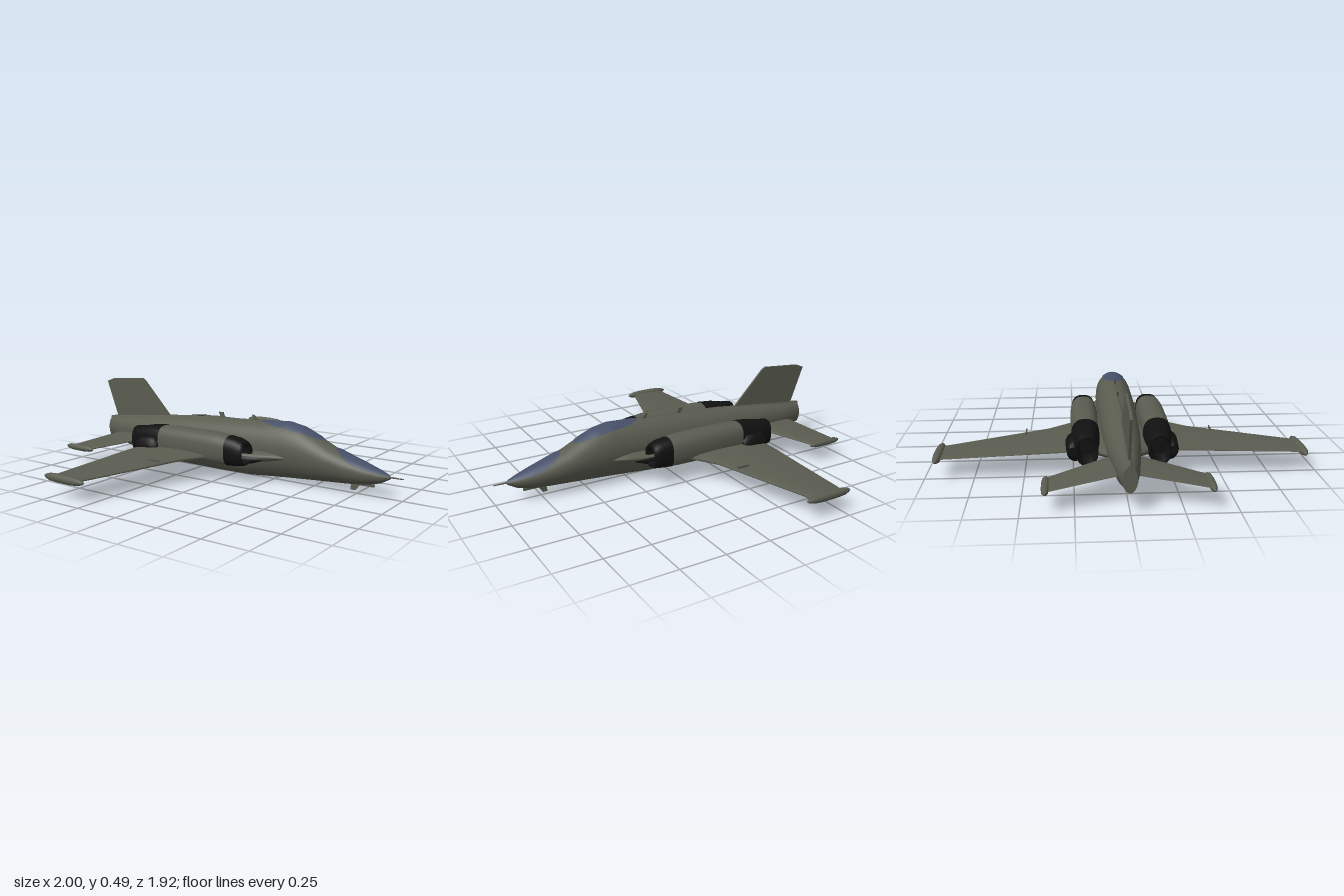
import * as THREE from 'three';

const mat = (name, color) => Object.assign(new THREE.MeshStandardMaterial({ color }), { name });

// Skin closed rings of [x, y, z] points and cap both ends
function loft(rings) {
  const n = rings[0].length, pos = rings.flat(2), idx = [];
  for (let i = 0; i < rings.length - 1; i++) {
    for (let j = 0; j < n; j++) {
      const k = (j + 1) % n, a = i * n + j, b = i * n + k;
      idx.push(a, a + n, b, b, a + n, b + n);
    }
  }
  [rings[0], rings[rings.length - 1]].forEach((ring, end) => {
    const base = pos.length / 3;
    pos.push(...ring.flat(), ...[0, 1, 2].map(c => ring.reduce((s, p) => s + p[c], 0) / n));
    for (let j = 0; j < n; j++) {
      const k = (j + 1) % n;
      idx.push(base + n, base + (end ? k : j), base + (end ? j : k));
    }
  });
  return build(pos, idx);
}

function build(pos, idx) {
  const g = new THREE.BufferGeometry();
  g.setAttribute('position', new THREE.Float32BufferAttribute(pos, 3));
  g.setIndex(idx);
  g.computeVertexNormals();
  return g;
}

// Copy a geometry to the other side, keeping faces outward
function mirrored(g) {
  const m = g.clone().scale(1, 1, -1), ix = m.index.array;
  for (let i = 0; i < ix.length; i += 3) [ix[i], ix[i + 1]] = [ix[i + 1], ix[i]];
  m.computeVertexNormals();
  return m;
}

// Fuselage stations: x, bottom, middle, top, half width
const BODY = [
  [-0.97, 0.1, 0.165, 0.23, 0.035], [-0.86, 0.085, 0.165, 0.24, 0.055], [-0.82, 0.065, 0.165, 0.245, 0.06],
  [-0.6, 0.035, 0.17, 0.272, 0.085], [-0.4, 0.012, 0.18, 0.295, 0.098], [-0.1, 0.008, 0.19, 0.315, 0.105],
  [0.1, 0.01, 0.19, 0.324, 0.108], [0.22, 0.02, 0.19, 0.33, 0.108], [0.34, 0.03, 0.19, 0.337, 0.105],
  [0.43, 0.036, 0.185, 0.32, 0.1], [0.52, 0.042, 0.175, 0.28, 0.094], [0.6, 0.047, 0.16, 0.24, 0.086],
  [0.7, 0.053, 0.14, 0.205, 0.075], [0.8, 0.063, 0.125, 0.173, 0.057], [0.88, 0.082, 0.118, 0.146, 0.033],
  [0.93, 0.11, 0.119, 0.127, 0.009],
];

function bodyAt(x) {
  let i = 0;
  while (i < BODY.length - 2 && BODY[i + 1][0] < x) i++;
  const a = BODY[i], b = BODY[i + 1], t = (x - a[0]) / (b[0] - a[0]);
  return a.map((v, k) => v + (b[k] - v) * t);
}

function bodyPoint(x, angle, grow = 0) {
  const [, bottom, middle, top, half] = bodyAt(x), s = Math.sin(angle), c = Math.cos(angle);
  const keel = s < 0 ? 0.82 + 0.18 * Math.abs(c) : 1;
  return [x, middle + s * (s > 0 ? top - middle + grow : middle - bottom), c * keel * (half + grow)];
}

// Thin glazed panel that follows the fuselage top
function panel(x0, x1, width) {
  const pos = [], idx = [], nx = 28, nv = 14;
  for (let i = 0; i <= nx; i++) {
    const u = -Math.cos(Math.PI * i / nx), x = (x0 + x1) / 2 + u * (x1 - x0) / 2, half = bodyAt(x)[4];
    const w = Math.min(width * Math.sqrt(Math.max(0, 1 - u * u)), half * 0.85);
    for (let j = 0; j <= nv; j++) {
      pos.push(...bodyPoint(x, Math.acos((1 - 2 * j / nv) * w / half), 0.004));
      if (i < nx && j < nv) {
        const a = i * (nv + 1) + j, b = a + nv + 1;
        idx.push(a, b, a + 1, a + 1, b, b + 1);
      }
    }
  }
  return build(pos, idx);
}

// Rounded tube along x from stations: x, bottom, top, half width, centre z
function tubeX(stations, power = 0.8, n = 28) {
  const round = v => Math.sign(v) * Math.abs(v) ** power;
  return loft(stations.map(([x, bottom, top, half, z]) => Array.from({ length: n }, (_, j) => {
    const a = j / n * Math.PI * 2;
    return [x, (bottom + top) / 2 + round(Math.sin(a)) * (top - bottom) / 2, z + round(Math.cos(a)) * half];
  })));
}

// Aerofoil surface along z from stations: z, trailing x, leading x, y, half thickness
function wing(stations, n = 20) {
  return loft(stations.map(([z, tail, lead, y, thick]) => Array.from({ length: n }, (_, j) => {
    const a = j / n * Math.PI * 2, c = Math.cos(a);
    return [(tail + lead) / 2 - c * (lead - tail) / 2, y + thick * Math.sin(a) * (1 - 0.4 * c), z];
  })));
}

// Streamlined tip body
function pod(x0, x1, y, z, r) {
  const shape = [[0, 0.05], [0.06, 0.5], [0.16, 0.85], [0.35, 1], [0.65, 1], [0.84, 0.85], [0.95, 0.5], [1, 0.05]];
  return tubeX(shape.map(([t, s]) => [x0 + (x1 - x0) * t, y - r * s, y + r * s, r * s, z]), 1, 16);
}

// Flat upright plate centred on z = 0
function plate(points, thick) {
  const shape = new THREE.Shape(points.map(p => new THREE.Vector2(...p)));
  return new THREE.ExtrudeGeometry(shape, { depth: thick, bevelEnabled: false }).translate(0, 0, -thick / 2);
}

export function createModel() {
  const model = new THREE.Group();
  model.name = 'jetAircraft';
  const grey = mat('oliveGrey', 0x5a5c50), black = mat('engineBlack', 0x111111), blue = mat('glassBlue', 0x465068);
  const add = (name, geometry, material = grey) => {
    const mesh = new THREE.Mesh(geometry, material);
    mesh.name = name;
    model.add(mesh);
  };
  // The aircraft faces +x, so its right side is +z
  const addPair = (name, geometry, material) => {
    add(name + 'Left', mirrored(geometry), material);
    add(name + 'Right', geometry, material);
  };

  // Fuselage, glazing and nose probe
  const rings = BODY.map(([x]) => Array.from({ length: 40 }, (_, j) => bodyPoint(x, j / 40 * Math.PI * 2)));
  add('fuselage', loft(rings));
  add('canopy', panel(0.17, 0.555, 0.06), blue);
  add('nosePanel', panel(0.63, 0.925, 0.06), blue);
  add('noseProbe', new THREE.CylinderGeometry(0.003, 0.005, 0.09, 8).rotateZ(-Math.PI / 2).translate(0.955, 0.121, 0));

  // Shoulder fairing that carries the engines and wing roots
  add('shoulderFairing', tubeX([
    [-0.62, 0.13, 0.17, 0.06, 0], [-0.52, 0.105, 0.18, 0.15, 0], [-0.3, 0.095, 0.185, 0.2, 0],
    [0, 0.095, 0.185, 0.19, 0], [0.12, 0.1, 0.19, 0.16, 0], [0.25, 0.115, 0.195, 0.145, 0],
    [0.31, 0.125, 0.19, 0.125, 0], [0.42, 0.14, 0.175, 0.08, 0],
  ], 1, 32));

  // Engines: body, hollow intake, hollow nozzle and deflector
  addPair('engineBody', tubeX([
    [-0.39, 0.1, 0.268, 0.07, 0.186], [-0.3, 0.1, 0.274, 0.073, 0.187], [-0.05, 0.1, 0.275, 0.075, 0.187],
    [0.03, 0.1, 0.271, 0.072, 0.187], [0.085, 0.102, 0.264, 0.068, 0.187],
  ]));
  addPair('engineIntake', tubeX([
    [0.08, 0.1, 0.266, 0.069, 0.187], [0.14, 0.106, 0.258, 0.066, 0.187], [0.175, 0.11, 0.245, 0.06, 0.187],
    [0.19, 0.118, 0.232, 0.053, 0.187], [0.175, 0.125, 0.225, 0.046, 0.187], [0.1, 0.13, 0.22, 0.042, 0.187],
  ]), black);
  addPair('intakeSplitter', tubeX([
    [0.08, 0.1, 0.16, 0.03, 0.145], [0.18, 0.112, 0.158, 0.022, 0.138], [0.25, 0.135, 0.15, 0.004, 0.136],
  ], 1, 12), black);
  addPair('engineNozzle', tubeX([
    [-0.52, 0.125, 0.215, 0.035, 0.182], [-0.585, 0.11, 0.23, 0.045, 0.182], [-0.592, 0.095, 0.243, 0.055, 0.182],
    [-0.53, 0.085, 0.25, 0.06, 0.184], [-0.46, 0.088, 0.265, 0.071, 0.186], [-0.38, 0.096, 0.272, 0.073, 0.186],
  ]), black);
  addPair('exhaustDeflector', tubeX([
    [-0.53, 0.12, 0.17, 0.02, 0.255], [-0.51, 0.09, 0.2, 0.045, 0.24], [-0.45, 0.085, 0.21, 0.05, 0.238],
    [-0.4, 0.09, 0.21, 0.053, 0.238], [-0.375, 0.12, 0.18, 0.03, 0.24],
  ], 1, 16), black);

  // Wings and tailplanes with their tip bodies
  addPair('wing', wing([
    [0.08, -0.52, 0.08, 0.142, 0.02], [0.26, -0.52, -0.035, 0.14, 0.02], [0.38, -0.52, -0.12, 0.136, 0.017],
    [0.93, -0.515, -0.31, 0.114, 0.008],
  ]));
  addPair('wingTipPod', pod(-0.555, -0.27, 0.113, 0.935, 0.023));
  addPair('wingFence', new THREE.BoxGeometry(0.07, 0.012, 0.006).translate(-0.2, 0.15, 0.5));
  addPair('tailplane', wing([[0.03, -0.87, -0.585, 0.15, 0.014], [0.385, -0.96, -0.78, 0.11, 0.006]]));
  addPair('tailTipPod', pod(-0.985, -0.765, 0.109, 0.383, 0.019));

  // Fin and spine
  add('tailFin', plate([[-0.91, 0.22], [-1, 0.455], [-0.95, 0.475], [-0.71, 0.495], [-0.69, 0.485], [-0.485, 0.275], [-0.5, 0.25]], 0.012));
  add('dorsalSpine', tubeX([[-0.975, 0.2, 0.237, 0.012, 0], [-0.6, 0.23, 0.28, 0.016, 0], [-0.3, 0.26, 0.307, 0.016, 0], [0.1, 0.29, 0.327, 0.01, 0]], 1, 12));

  // Small aerials and nose fittings
  add('rearAerial', plate([[-0.13, 0.345], [-0.1, 0.345], [-0.085, 0.305], [-0.11, 0.305]], 0.008));
  add('frontAerial', plate([[0.1, 0.353], [0.115, 0.35], [0.14, 0.32], [0.11, 0.32]], 0.008));
  add('noseHook', plate([[0.715, 0.025], [0.74, 0.025], [0.77, 0.065], [0.72, 0.065]], 0.014));
  add('noseRail', new THREE.BoxGeometry(0.11, 0.014, 0.012).translate(0.79, 0.062, 0));
  return model;
}
